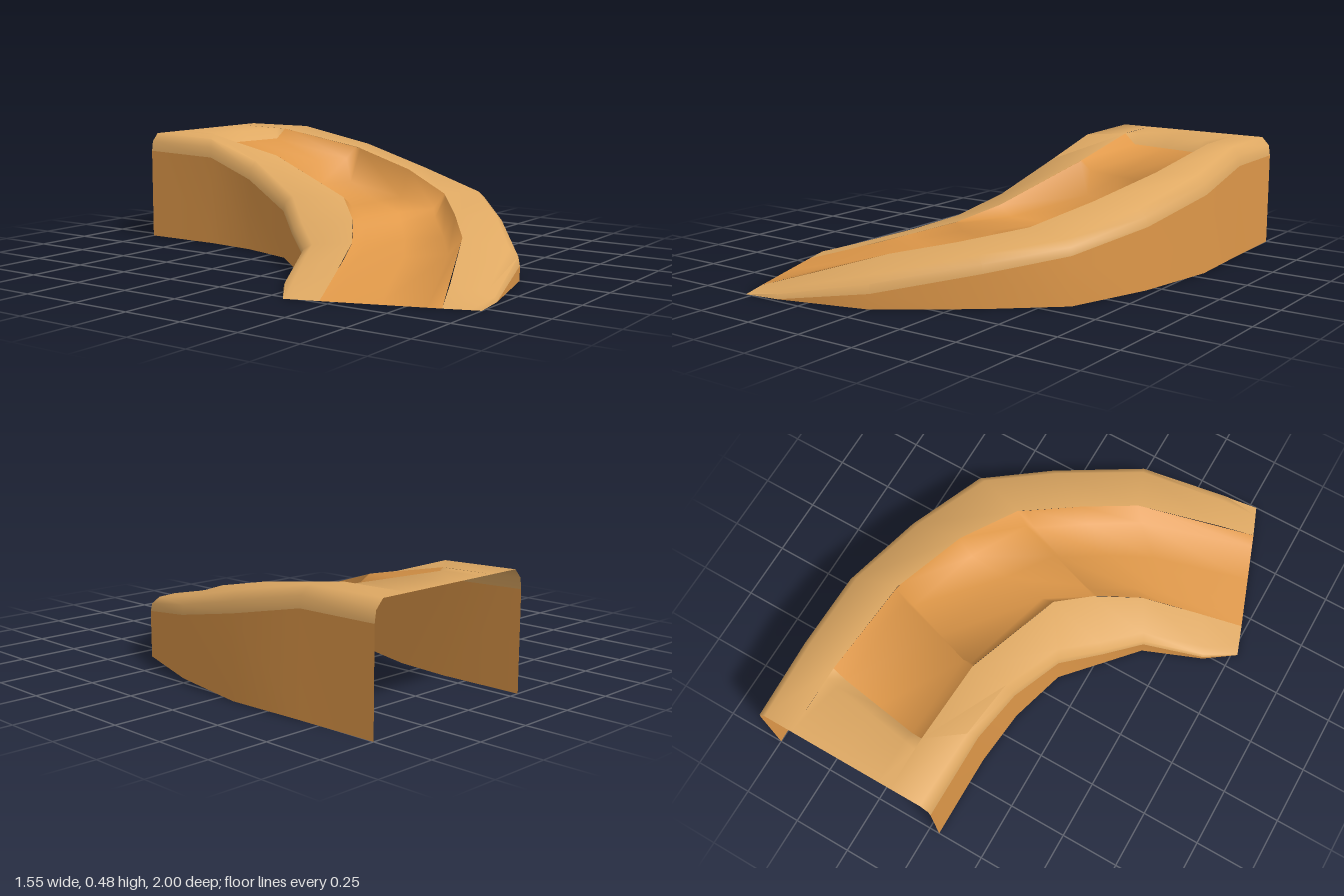
import * as THREE from 'three';
import { toCreasedNormals } from 'three/addons/utils/BufferGeometryUtils.js';

// Skin a grid of points: rows run back to front, columns run left to right
function loft(rows, crease = 1) {
  const n = rows[0].length, index = [];
  for (let i = 0; i < rows.length - 1; i++) {
    for (let j = 0; j < n - 1; j++) {
      const a = i * n + j, b = a + n;
      index.push(a, b, a + 1, a + 1, b, b + 1);
    }
  }
  const g = new THREE.BufferGeometry();
  g.setAttribute('position', new THREE.Float32BufferAttribute(rows.flat(2), 3));
  g.setIndex(index);
  return toCreasedNormals(g, crease);
}

// Rim section from the top of the outer wall, over the bevel, to the inner edge
function rimSection([x, y, z, k], [ix, iy, iz]) {
  const d = Math.hypot(ix - x, iz - z);
  const at = (inset, rise) => [
    x + (ix - x) / d * inset, y + rise * k, z + (iz - z) / d * inset];
  return [[x, y, z], at(0.007, 0.045), at(0.04, 0.08), [ix, iy, iz]];
}

// Channel section: left edge, flat bed at height y, right edge
function bedSection([l, r, y]) {
  const at = (t) => [l[0] + (r[0] - l[0]) * t, y, l[2] + (r[2] - l[2]) * t];
  return [l, at(0.12), at(0.5), at(0.88), r];
}

export function createModel() {
  const group = new THREE.Group();
  const wallMat = new THREE.MeshStandardMaterial({ color: 0xdf9849, side: THREE.DoubleSide });
  wallMat.name = 'orange sand';
  const rimMat = new THREE.MeshStandardMaterial({ color: 0xdfa963, side: THREE.DoubleSide });
  rimMat.name = 'pale sand';
  const add = (name, geometry, material) => {
    const m = new THREE.Mesh(geometry, material);
    m.name = name;
    group.add(m);
  };

  // Outer wall tops (x, y, z, bevel scale) and inner rim edges (x, y, z)
  const innerBendOuter = [
    [-0.045, 0.40, -1, 1], [-0.045, 0.39, -0.64, 1], [-0.07, 0.31, -0.4, 1],
    [-0.14, 0.20, -0.16, 0.8], [-0.27, 0.13, -0.015, 0.6], [-0.4, 0.085, 0.13, 0.5],
    [-0.65, 0.02, 0.23, 0.3], [-0.775, 0, 0.32, 0]];
  const innerBendInner = [
    [0.13, 0.48, -1], [0.13, 0.475, -0.77], [0.125, 0.40, -0.4], [0.005, 0.26, 0.05],
    [-0.12, 0.195, 0.18], [-0.3, 0.135, 0.3], [-0.55, 0.055, 0.39], [-0.73, 0, 0.45]];
  const outerBendOuter = [
    [0.75, 0.40, -1, 1], [0.76, 0.40, -0.66, 1], [0.775, 0.33, -0.32, 1],
    [0.71, 0.255, 0.05, 0.85], [0.59, 0.195, 0.41, 0.7], [0.34, 0.135, 0.63, 0.8],
    [0, 0.06, 0.88, 0.8], [-0.38, 0, 0.98, 0.4], [-0.53, 0, 1, 0]];
  const outerBendInner = [
    [0.585, 0.48, -1], [0.585, 0.475, -0.7], [0.57, 0.41, -0.26], [0.48, 0.335, 0.08],
    [0.35, 0.26, 0.34], [0.13, 0.205, 0.52], [-0.08, 0.16, 0.67],
    [-0.42, 0.05, 0.81], [-0.58, 0, 0.87]];

  // Rounded rims on both sides of the channel
  add('innerBendRim',
    loft(innerBendOuter.map((p, i) => rimSection(p, innerBendInner[i]))), rimMat);
  add('outerBendRim',
    loft(outerBendOuter.map((p, i) => rimSection(p, outerBendInner[i]).reverse())), rimMat);

  // Upright outer walls, open underneath
  add('innerBendWall', loft(innerBendOuter.map(([x, y, z]) => [[x, 0, z], [x, y, z]])), wallMat);
  add('outerBendWall', loft(outerBendOuter.map(([x, y, z]) => [[x, y, z], [x, 0, z]])), wallMat);

  // Channel bed stepping down in terraces: left edge, right edge, bed height
  const bed = [
    [[0.13, 0.475, -0.77], [0.585, 0.475, -0.7], 0.43],
    [[0.125, 0.40, -0.4], [0.57, 0.41, -0.27], 0.36],
    [[0.122, 0.395, -0.385], [0.566, 0.405, -0.24], 0.25],
    [[0.005, 0.26, 0.05], [0.48, 0.335, 0.08], 0.215],
    [[-0.12, 0.195, 0.18], [0.35, 0.26, 0.34], 0.2],
    [[-0.13, 0.19, 0.19], [0.32, 0.25, 0.365], 0.165],
    [[-0.3, 0.135, 0.3], [0.13, 0.205, 0.52], 0.125],
    [[-0.42, 0.095, 0.345], [-0.08, 0.16, 0.67], 0.095],
    [[-0.73, 0, 0.45], [-0.58, 0, 0.87], 0]].map(bedSection);
  add('channelBed', loft(bed, 1.6), wallMat);

  // Flat top at the back, rolling over into the channel
  add('backPlateau', loft([
    bed[0].map(([x]) => [x, 0.48, -1]),
    bed[0].map(([x, , z]) => [x, 0.475, z - 0.05]),
    bed[0]]), rimMat);

  return group;
}
